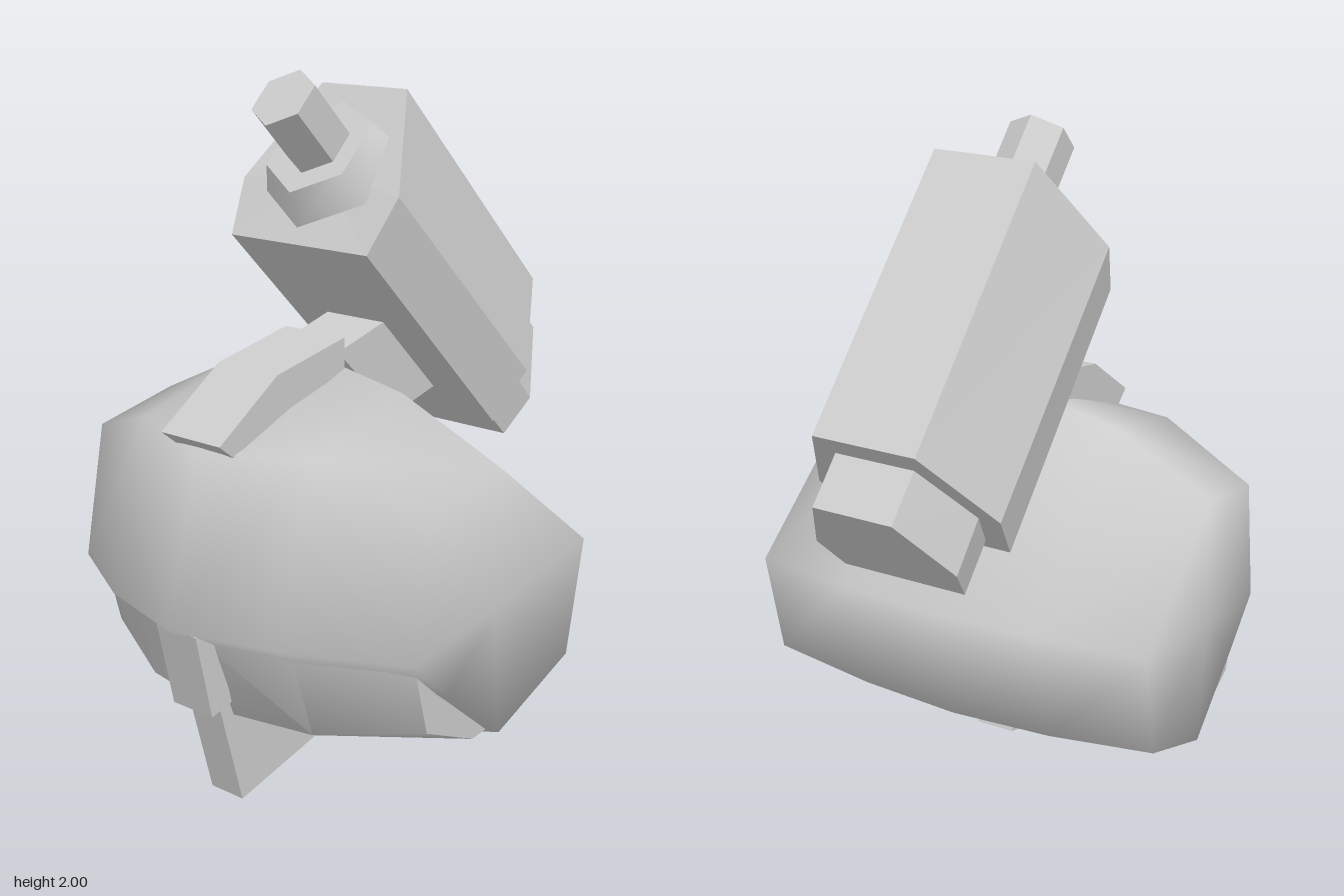
import * as THREE from 'three';
import { toCreasedNormals } from 'three/addons/utils/BufferGeometryUtils.js';

// Closed skin over a list of equally long rings of [x, y, z] points
function loft(rings) {
  const n = rings[0].length, pos = [], idx = [];
  rings.forEach(r => r.forEach(p => pos.push(...p)));
  for (let i = 0; i < rings.length - 1; i++) {
    for (let j = 0; j < n; j++) {
      const a = i * n + j, b = i * n + (j + 1) % n;
      idx.push(a, b, b + n, a, b + n, a + n);
    }
  }
  // End caps fan out from the centre of the end rings
  [0, rings.length - 1].forEach((e, k) => {
    const c = pos.length / 3;
    for (let axis = 0; axis < 3; axis++) pos.push(rings[e].reduce((s, p) => s + p[axis], 0) / n);
    for (let j = 0; j < n; j++) {
      const a = e * n + j, b = e * n + (j + 1) % n;
      if (k) idx.push(c, a, b); else idx.push(c, b, a);
    }
  });
  // Turn the faces outward if the rings run the other way
  const v = i => new THREE.Vector3().fromArray(pos, i * 3);
  let volume = 0;
  for (let i = 0; i < idx.length; i += 3) volume += v(idx[i]).dot(v(idx[i + 1]).cross(v(idx[i + 2])));
  if (volume < 0) idx.reverse();
  const g = new THREE.BufferGeometry();
  g.setAttribute('position', new THREE.Float32BufferAttribute(pos, 3));
  g.setIndex(idx);
  g.computeVertexNormals();
  return g;
}

// Side outline of [z, y] points placed at one x
const ring = (x, pts) => pts.map(([z, y]) => [x, y, z]);

// Side outline given a width across x
const slab = (half, pts) => loft([ring(-half, pts), ring(half, pts)]);

// Five sections mirrored about the middle
const mirrored = (x1, x2, middle, inner, outer) => loft([
  ring(-x2, outer), ring(-x1, inner), ring(0, middle), ring(x1, inner), ring(x2, outer),
]);

// Six-cornered section from the right-hand half [x, y, z], top to bottom
const hexRing = half => [...half, ...half.slice().reverse().map(([x, y, z]) => [-x, y, z])];

export function createModel() {
  const group = new THREE.Group();
  const smooth = new THREE.MeshStandardMaterial({ color: 0xcccccc });
  const flat = new THREE.MeshStandardMaterial({ color: 0xcccccc, flatShading: true });
  const add = (name, geometry, material = flat) => {
    const m = new THREE.Mesh(geometry, material);
    m.name = name;
    group.add(m);
    return m;
  };

  // Rounded head, recessed at the lower front where the jaw sits
  add('head', mirrored(0.31, 0.63,
    [[0.74, 0.56], [0.62, 1.03], [0.15, 1.21], [-0.36, 0.70], [-0.25, 0.32], [0.12, 0.13], [0.5, 0.4]],
    [[0.655, 0.56], [0.52, 1.05], [0.14, 1.15], [-0.34, 0.70], [-0.24, 0.33], [0.12, 0.15], [0.44, 0.4]],
    [[0.475, 0.55], [0.4, 0.94], [0.12, 1.0], [-0.29, 0.69], [-0.22, 0.36], [0.1, 0.23], [0.33, 0.42]],
  ), smooth);

  // Jaw shell under the front
  add('jaw', toCreasedNormals(mirrored(0.31, 0.6,
    [[0.67, 0.54], [0.57, 0.27], [0.2, 0.15], [0.08, 0.2], [0.4, 0.52]],
    [[0.59, 0.53], [0.51, 0.27], [0.2, 0.16], [0.08, 0.21], [0.37, 0.52]],
    [[0.43, 0.51], [0.38, 0.32], [0.18, 0.23], [0.09, 0.24], [0.32, 0.5]],
  ), 0.9), smooth);

  // Chin fin and the bracket above it
  add('chinFin', slab(0.06, [[0.53, 0], [0, 0.14], [0.08, 0.43], [0.61, 0.3]]));
  add('chinBracket', slab(0.075, [[0.71, 0.55], [0.655, 0.3], [0.58, 0.32], [0.63, 0.55]]));

  // Bent strip over the brow and the neck that carries the housing
  add('browStrip', slab(0.11,
    [[0.64, 1.07], [0.42, 1.22], [0.15, 1.275], [0.15, 1.18], [0.37, 1.12], [0.59, 1.03]]));
  add('neck', slab(0.105, [[0.17, 1.235], [-0.03, 1.29], [-0.28, 1.06], [-0.07, 1.005]]));

  // Tilted housing with a smaller block on its rear
  add('housing', loft([
    hexRing([[0.155, 1.94, -0.06], [0.285, 1.68, 0.13], [0.25, 1.53, 0.22]]),
    hexRing([[0.155, 1.32, -0.68], [0.285, 1.09, -0.475], [0.25, 0.95, -0.36]]),
  ]));
  add('rearBlock', loft([
    hexRing([[0.12, 1.29, -0.6], [0.22, 1.12, -0.45], [0.19, 1.01, -0.36]]),
    hexRing([[0.12, 1.15, -0.74], [0.22, 0.97, -0.59], [0.19, 0.87, -0.5]]),
  ]));

  // Six-sided collar and nozzle, pointing forward and up
  const tilted = (name, rTop, rBottom, length, topY, topZ, material) => {
    const m = add(name, new THREE.CylinderGeometry(rTop, rBottom, length, 6), material);
    m.rotation.x = Math.PI / 4;
    const d = length / 2 * Math.SQRT1_2;
    m.position.set(0, topY - d, topZ - d);
  };
  tilted('collar', 0.16, 0.21, 0.09, 1.79, 0.135, smooth);
  tilted('nozzle', 0.097, 0.097, 0.28, 1.932, 0.27, flat);

  return group;
}
